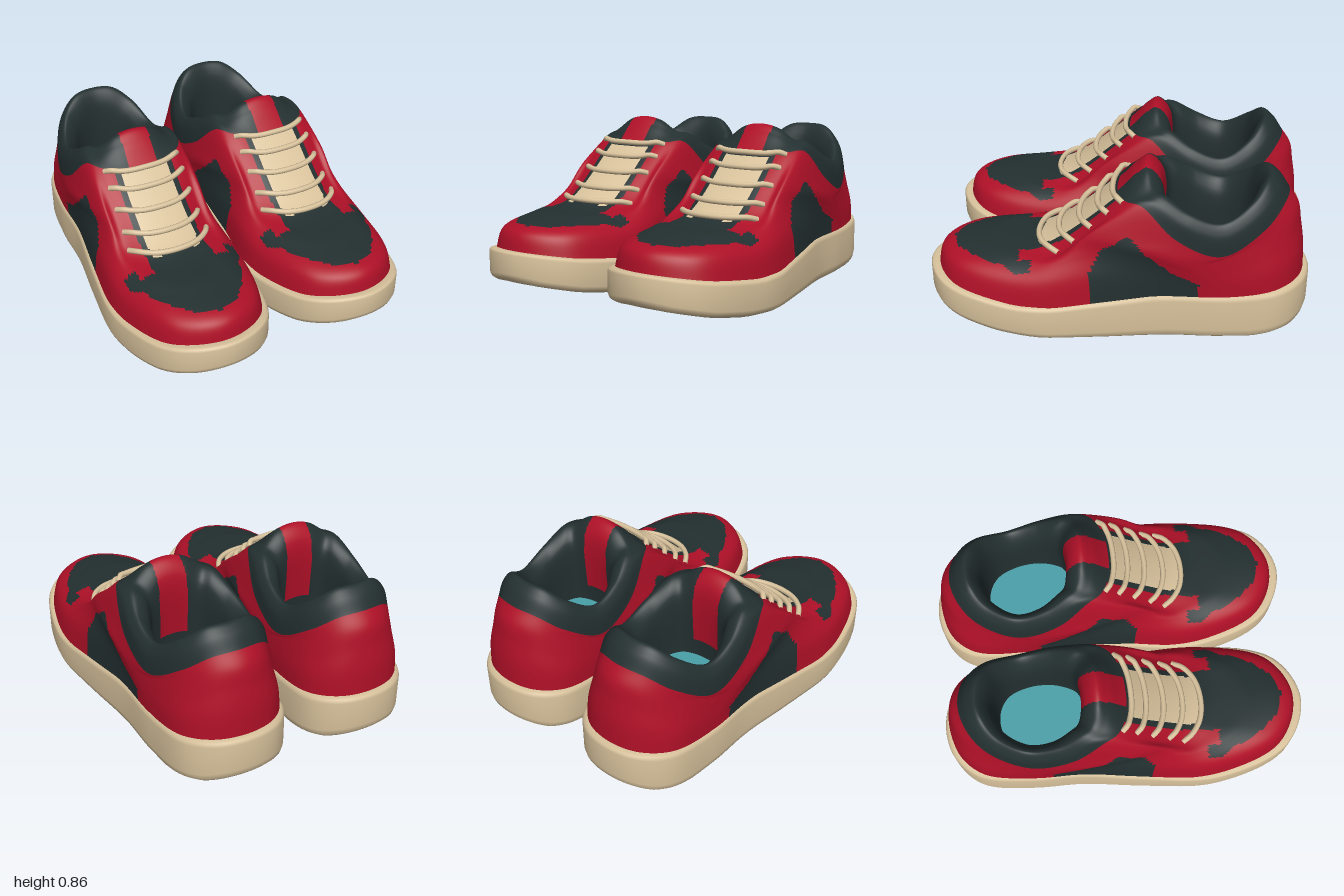
import * as THREE from 'three';

const mat = (name, color) => {
  const m = new THREE.MeshStandardMaterial({ color });
  m.name = name;
  return m;
};

// Linear lookup through [input, output] pairs
function lookup(pairs, v) {
  if (v <= pairs[0][0]) return pairs[0][1];
  for (let i = 1; i < pairs.length; i++) {
    const [a, p] = pairs[i - 1], [b, q] = pairs[i];
    if (v <= b) return p + ((q - p) * (v - a)) / (b - a);
  }
  return pairs[pairs.length - 1][1];
}
const { lerp, clamp } = THREE.MathUtils;

// Nine stations run from toe round the side to heel: share of length and share of half width
const SOLE_Z = [0, .06, .26, .47, .64, .78, .917, .98, 1];
const SOLE_X = [0, .67, 1, .92, .83, .83, .73, .43, 0];
const COLLAR_Z = [0, .015, .07, .16, .36, .62, .86, .965, 1];
const COLLAR_X = [0, .39, .70, .85, 1, .98, .75, .41, 0];
// Height of the collar seam, and how far the padding rises above it
const SEAM_Y = [.72, .72, .73, .73, .57, .48, .60, .69, .71];
const PAD_RISE = [.14, .12, .05, .035, .12, .16, .13, .11, .10];

// Rings of the upper from sole edge to insole: front z, back z, half width,
// then how far length and width have changed from sole shape to collar shape
const RINGS = [
  [.96, -.97, .375, 0, 0], [.92, -.96, .365, .05, .2], [.70, -.94, .345, .35, .6], [.40, -.92, .33, .85, .95],
  [0, -.87, .315], [-.09, -.82, .30], [-.15, -.77, .265], [-.22, -.72, .21], [-.22, -.69, .19],
];
const FRONT_CLIMB = [0, .26, .40, .48];
const BACK_CLIMB = [0, .36, .62, .84];

const SOLE_TOP = [[-1, .29], [-.8, .265], [-.6, .25], [-.2, .25], [.1, .215], [.3, .19], [.5, .19], [.8, .23], [1, .27]];
const SOLE_BOTTOM = [[-1, .06], [-.9, .02], [-.7, 0], [.35, 0], [.6, .02], [.8, .055], [.95, .095], [1, .12]];
const PANEL_TOP = [[-.43, .32], [-.30, .38], [-.15, .50], [-.08, .58], [.06, .50], [.13, .36]];
const TOE_WIDTH = [[.42, .31], [.50, .31], [.55, .27], [.65, .245], [.75, .18], [.82, .12], [.87, 0]];

function upperHeight(k, i, z) {
  if (k < 4) {
    const climb = lerp(FRONT_CLIMB[k], BACK_CLIMB[k], clamp((i - 2) / 2, 0, 1));
    return lerp(lookup(SOLE_TOP, z) - .03, SEAM_Y[i], climb);
  }
  if (k === 8) return .33;
  return SEAM_Y[i] + PAD_RISE[i] * [0, .7, 1, 1][k - 4] - (k === 7 ? .07 : 0);
}

// Profile of the upper at station i
const meridians = SEAM_Y.map((_, i) => new THREE.CatmullRomCurve3(RINGS.map(([front, back, width, bz = 1, bx = 1], k) => {
  const z = lerp(front, back, lerp(SOLE_Z[i], COLLAR_Z[i], bz));
  return new THREE.Vector3(width * lerp(SOLE_X[i], COLLAR_X[i], bx), upperHeight(k, i, z), z);
})));

// Full closed loop from a half loop lying on the +x side
const mirrorLoop = (half) => new THREE.CatmullRomCurve3([
  ...half,
  ...half.slice(1, -1).reverse().map((p) => new THREE.Vector3(-p.x, p.y, p.z)),
], true);
const upperLoop = (v) => mirrorLoop(meridians.map((m) => m.getPoint(v / 8)));
const sampleLoop = (curve, n) => Array.from({ length: n }, (_, i) => curve.getPoint(i / n));

// Each shoe's centreline bends slightly inward towards the heel
const centre = (z) => .395 + .04 * Math.min(0, z - .1);
const place = (p, side) => new THREE.Vector3(p.x + side * centre(p.z), p.y, p.z);

// Skin closed rings; pick(point, ringIndex) chooses the material of each face
function loft(rings, side, pick = () => 0, count = 1) {
  const n = rings[0].length, pos = [], faces = Array.from({ length: count }, () => []);
  rings.forEach((r) => r.forEach((p) => pos.push(...place(p, side).toArray())));
  for (let j = 0; j < rings.length - 1; j++) {
    for (let i = 0; i < n; i++) {
      const k = (i + 1) % n, a = j * n + i, b = j * n + k, c = a + n, d = b + n;
      const mid = rings[j][i].clone().add(rings[j + 1][k]).multiplyScalar(.5);
      faces[pick(mid, j + .5)].push(a, b, d, a, d, c);
    }
  }
  const g = new THREE.BufferGeometry();
  g.setAttribute('position', new THREE.Float32BufferAttribute(pos, 3));
  g.setIndex(faces.flat());
  let start = 0;
  if (count > 1) faces.forEach((f, i) => { g.addGroup(start, f.length, i); start += f.length; });
  g.computeVertexNormals();
  return g;
}

// Colour blocking of the upper: 0 red, 1 dark, 2 cream
function panelColour(p, v) {
  const s = Math.abs(p.x);
  if (v >= 3.97 && v < 7.8 && s < .08 && p.z > -.3) return 0;   // tongue tab
  if (v >= 4) return 1;                                         // padded collar
  if (p.z > .42) {                                              // toe box with eyestay notches
    const notch = p.z < .49 && s > .17 && s < .25;
    return !notch && s < lookup(TOE_WIDTH, p.z) ? 1 : 0;
  }
  if (s < .165 && v > 2.5 && p.z > -.1) return s < .135 && p.z < .40 && v < 3.93 ? 2 : 1; // tongue
  if (p.z > -.43 && p.z < .12 && p.y < lookup(PANEL_TOP, p.z)) return 1;                   // side panel
  return 0;
}

export function createModel() {
  const red = mat('red leather', 0xae1027);
  const dark = mat('dark leather', 0x232f30);
  const cream = mat('cream rubber', 0xd8c29c);
  const teal = mat('teal lining', 0x4aa0a9);
  const model = new THREE.Group();
  model.name = 'sneakers';

  const STEP = 14;
  const upperRings = Array.from({ length: 8 * STEP + 1 }, (_, j) => sampleLoop(upperLoop(j / STEP), 16 * STEP));
  const rim = upperRings[8 * STEP];
  const insoleRings = [rim, rim.map((p) => new THREE.Vector3(0, p.y, p.z))];

  // Sole rings: inset from the outline and height fraction; inset 1 closes on the centreline
  const outline = sampleLoop(mirrorLoop(SOLE_Z.map((f, i) => new THREE.Vector3(.39 * SOLE_X[i], 0, 1 - 2 * f))), 128);
  const soleRings = [[1, 0], [.06, 0], [.025, .01], [.008, .07], [0, .2], [0, .55], [0, .87], [.006, .95], [.02, 1], [.06, 1], [1, 1]]
    .map(([inset, h]) => outline.map((p) => {
      const z = p.z * (1 - Math.min(inset, .06));
      return new THREE.Vector3(
        p.x * Math.max(0, 1 - inset / .38), lerp(lookup(SOLE_BOTTOM, z), lookup(SOLE_TOP, z), h), z);
    }));

  for (const side of [1, -1]) {
    const shoe = new THREE.Group();
    shoe.name = side > 0 ? 'leftShoe' : 'rightShoe';
    const add = (name, geometry, material) => {
      const m = new THREE.Mesh(geometry, material);
      m.name = name;
      shoe.add(m);
    };

    add('sole', loft(soleRings, side), cream);
    add('upper', loft(upperRings, side, (p, j) => panelColour(p, j / STEP), 3), [red, dark, cream]);
    add('insole', loft(insoleRings, side), teal);

    // Laces follow the upper across the throat and tuck in at the eyelets
    [3.0, 3.25, 3.49, 3.72, 3.95].forEach((v, i) => {
      const loop = upperLoop(v), pts = [];
      for (let k = -6; k <= 6; k++) {
        const p = loop.getPoint(((k / 6) * 1.85 / 16 + 1) % 1);
        const lift = Math.abs(k) === 6 ? -.004 : .02;
        p.y += lift * .8;
        p.z += lift * .6;
        pts.push(place(p, side));
      }
      add('lace' + (i + 1), new THREE.TubeGeometry(new THREE.CatmullRomCurve3(pts), 36, .015, 8), cream);
    });
    model.add(shoe);
  }
  return model;
}
